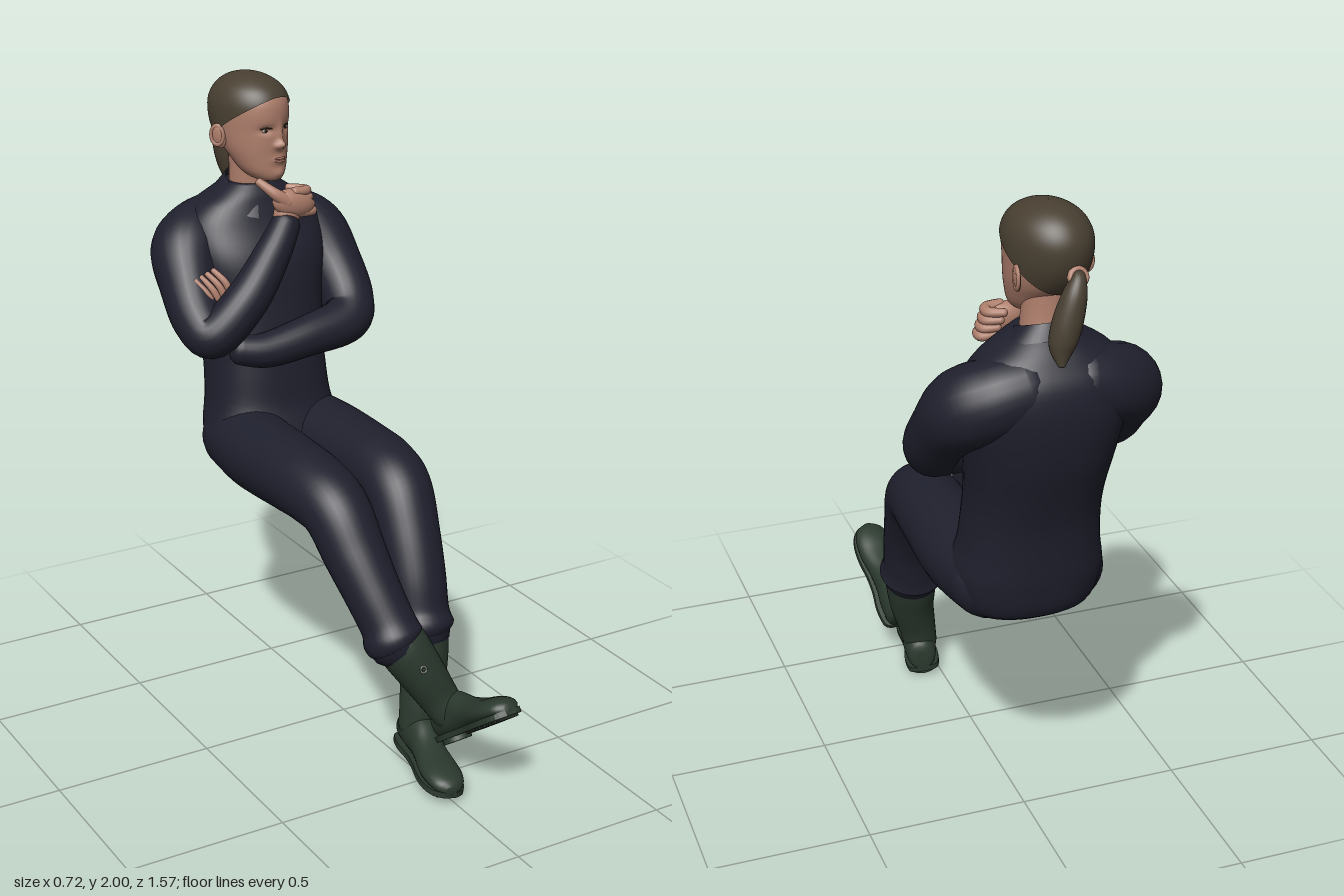
import * as THREE from 'three';
import { ParametricGeometry } from 'three/addons/geometries/ParametricGeometry.js';

const { sin, cos, PI, exp, min, max, floor, abs, sign, sqrt } = Math;
const V = (x, y, z) => new THREE.Vector3(x, y, z);
const mat = (name, color, side = THREE.FrontSide) => {
  const m = new THREE.MeshStandardMaterial({ color, side });
  m.name = name;
  return m;
};

// Smooth interpolation through rows of numbers, t from 0 to 1
function sample(rows, t) {
  const n = rows.length, u = t * (n - 1), i = min(floor(u), n - 2), f = u - i;
  const row = k => rows[max(0, min(n - 1, k))];
  return rows[0].map((_, c) => {
    const [a, b, d, e] = [row(i - 1)[c], row(i)[c], row(i + 1)[c], row(i + 2)[c]];
    return b + 0.5 * f * (d - a + f * (2 * a - 5 * b + 4 * d - e + f * (3 * (b - d) + e - a)));
  });
}

// Skin over a list of closed rings, optionally capped at both ends
function loft(rings, capped = true) {
  const n = rings[0].length, pos = [], idx = [];
  rings.forEach(r => r.forEach(p => pos.push(p.x, p.y, p.z)));
  for (let i = 0; i < rings.length - 1; i++) for (let j = 0; j < n; j++) {
    const a = i * n + j, a1 = i * n + (j + 1) % n;
    idx.push(a, a1, a + n, a1, a1 + n, a + n);
  }
  if (capped) [0, rings.length - 1].forEach(k => {
    const c = rings[k].reduce((s, p) => s.add(p), V(0, 0, 0)).divideScalar(n), ci = pos.length / 3;
    pos.push(c.x, c.y, c.z);
    for (let j = 0; j < n; j++) {
      const a = k * n + j, b = k * n + (j + 1) % n;
      if (k) idx.push(ci, a, b); else idx.push(ci, b, a);
    }
  });
  const g = new THREE.BufferGeometry();
  g.setAttribute('position', new THREE.Float32BufferAttribute(pos, 3));
  g.setIndex(idx);
  g.computeVertexNormals();
  return g;
}

// Round limb along rows of [x, y, z, radius], with rounded ends
function limb(rows, steps = 36, seg = 24) {
  const stations = [];
  for (let i = 0; i <= steps; i++) {
    const t = i / steps, [x, y, z, r] = sample(rows, t);
    const p = sample(rows, max(0, t - 0.01)), q = sample(rows, min(1, t + 0.01));
    stations.push({ c: V(x, y, z), r, t: V(q[0] - p[0], q[1] - p[1], q[2] - p[2]).normalize() });
  }
  const dome = (e, s) => [0.35, 0.7, 0.95].map(h =>
    ({ c: e.c.clone().addScaledVector(e.t, s * h * e.r * 0.7), r: e.r * sqrt(1 - h * h), t: e.t }));
  const all = [...dome(stations[0], -1).reverse(), ...stations, ...dome(stations[steps], 1)];
  let n = abs(all[0].t.x) < 0.8 ? V(1, 0, 0) : V(0, 1, 0);
  return loft(all.map(({ c, r, t }) => {
    n = n.clone().addScaledVector(t, -n.dot(t)).normalize();
    const b = t.clone().cross(n);
    return Array.from({ length: seg }, (_, j) => c.clone()
      .addScaledVector(n, r * cos(j / seg * 2 * PI)).addScaledVector(b, r * sin(j / seg * 2 * PI)));
  }));
}

// Head profile: height, half width, front z, back z
const HEAD = [[1.665, .02, .115, .06], [1.675, .045, .13, .02], [1.70, .07, .135, -.02], [1.74, .088, .135, -.06],
  [1.78, .1, .137, -.1], [1.83, .107, .138, -.13], [1.88, .11, .142, -.142], [1.92, .106, .136, -.138],
  [1.955, .09, .115, -.118], [1.98, .063, .08, -.088], [1.995, .032, .038, -.048], [2, .001, -.004, -.006]];
// Raised and sunken face features: x, y, x spread, y spread, height
const FACE = [[0, 1.82, .010, .03, .011], [0, 1.787, .014, .014, .022], [.016, 1.782, .008, .008, .008],
  [-.016, 1.782, .008, .008, .008], [.042, 1.835, .022, .013, -.011], [-.042, 1.835, .022, .013, -.011],
  [0, 1.737, .026, .012, .008], [0, 1.693, .022, .014, .007]];

function headPoint(y, a, grow = 0) {
  let lo = 0, hi = 1;
  for (let k = 0; k < 18; k++) { const m = (lo + hi) / 2; if (sample(HEAD, m)[0] < y) lo = m; else hi = m; }
  const [, w, f, b] = sample(HEAD, lo);
  const x = w * cos(a), front = max(0, -sin(a));
  let z = (f + b) / 2 - (f - b) / 2 * sin(a);
  if (front > 0) FACE.forEach(([fx, fy, sx, sy, h]) => { z += min(1, front * 3) * h * exp(-(((x - fx) / sx) ** 2) - ((y - fy) / sy) ** 2); });
  return V(x + grow * cos(a), y, z - grow * sin(a));
}
function onFace(x, y) {
  let lo = -PI / 2, hi = 0;
  for (let k = 0; k < 18; k++) { const m = (lo + hi) / 2; if (headPoint(y, m).x < abs(x)) lo = m; else hi = m; }
  const p = headPoint(y, lo);
  return V(p.x * (sign(x) || 1), y, p.z);
}

// Foot sections: z, half width, top height
const FOOT = [[-.075, .022, .09], [-.06, .046, .125], [0, .055, .15], [.06, .05, .14], [.12, .052, .108],
  [.19, .062, .088], [.25, .061, .08], [.295, .045, .066], [.315, .015, .048]];

export function createModel() {
  const root = new THREE.Group();
  const cloth = mat('navy cloth', 0x1f202d, THREE.DoubleSide), skin = mat('skin', 0xaf7f6c);
  const hair = mat('brown hair', 0x483f31, THREE.DoubleSide), rubber = mat('green rubber', 0x2b392e);
  const tread = mat('dark tread', 0x1a221c), white = mat('eye white', 0xc4b8ae);
  const iris = mat('dark iris', 0x2a201a), lip = mat('lip', 0xa26d5f), metal = mat('buckle metal', 0x8c8c88);
  const add = (name, geo, m, parent = root) => {
    const mesh = new THREE.Mesh(geo, m);
    mesh.name = name;
    parent.add(mesh);
    return mesh;
  };
  const blob = (name, m, p, s, parent = root) => {
    const mesh = add(name, new THREE.SphereGeometry(1, 24, 16), m, parent);
    mesh.position.copy(p);
    mesh.scale.set(...s);
    return mesh;
  };

  // Torso: height, half width, front z, back z
  const body = [[.705, .15, -.32, -.55], [.75, .2, -.3, -.63], [.85, .225, -.3, -.658], [.95, .208, -.335, -.67],
    [1.05, .2, -.35, -.685], [1.15, .2, -.365, -.715], [1.28, .215, -.385, -.76], [1.42, .24, -.41, -.785],
    [1.52, .235, -.46, -.775], [1.58, .19, -.485, -.74], [1.62, .13, -.5, -.71], [1.65, .085, -.52, -.68]];
  const soft = v => sign(v) * abs(v) ** 0.85;
  add('torso', loft(Array.from({ length: 49 }, (_, i) => {
    const [y, w, f, b] = sample(body, i / 48);
    return Array.from({ length: 48 }, (_, j) => {
      const a = j / 48 * 2 * PI;
      return V(w * soft(cos(a)), y, (f + b) / 2 - (f - b) / 2 * soft(sin(a)));
    });
  })), cloth);

  // Folded collar, open at the throat
  add('collar', new ParametricGeometry((u, v, p) => {
    const a = 0.3 + u * (2 * PI - 0.6), c = (1 + cos(a)) / 2;
    p.set(sin(a) * (.083 + .045 * v), 1.685 - .065 * c - v * (.045 + .03 * c ** 4), -.59 + cos(a) * (.084 + v * (.024 + .026 * c)));
  }, 40, 4), cloth);
  add('neck', limb([[0, 1.58, -.6, .074], [-.005, 1.68, -.59, .068], [-.01, 1.78, -.59, .066]], 10), skin);

  // Head, turned a little to its left
  const head = new THREE.Group();
  head.name = 'head';
  head.position.set(-.01, 0, -.58);
  head.rotation.y = .28;
  root.add(head);
  const ring = f => Array.from({ length: 96 }, (_, j) => f(j / 96 * 2 * PI));
  add('face', loft(Array.from({ length: 61 }, (_, i) => ring(a => headPoint(1.667 + .29 * i / 60, a)))), skin, head);
  add('hair', loft(Array.from({ length: 29 }, (_, i) => ring(a => {
    const y0 = 1.845 - .09 * sin(a), s = i / 28 * PI / 2;
    return headPoint(y0 + (2 - y0) * sin(s), a, .006 * cos(s) ** .5);
  })), false), hair, head);
  for (const s of [-1, 1]) {
    const eye = onFace(s * .042, 1.833);
    blob('eye', white, eye, [.015, .0055, .004], head);
    blob('iris', iris, eye.clone().add(V(0, 0, .0025)), [.0065, .0055, .003], head);
    // Dark lash line over the eye
    add('lashes', limb([.026, .042, .058].map((x, k) => {
      const p = onFace(s * x, 1.839 + (k === 1 ? .003 : 0));
      return [p.x, p.y, p.z + .001, .0025];
    }), 8, 8), iris, head);
    const ear = blob('ear', skin, V(s * .112, 1.805, -.02), [.01, .038, .023], head);
    ear.rotation.set(-.15, s * -.45, s * -.15);
    const rim = add('earRim', new THREE.TorusGeometry(.021, .006, 10, 24), skin, head);
    rim.position.set(s * .117, 1.81, -.024);
    rim.rotation.set(0, PI / 2 - s * .4, 0);
    rim.scale.y = 1.4;
  }
  [[1.742, .004], [1.733, .005]].forEach(([y, h]) => blob('lip', lip, onFace(0, y).add(V(0, 0, -.003)), [.022, h, .005], head));

  // Ponytail and its tie
  add('ponytail', limb([[-.045, 1.82, -.7, .018], [-.042, 1.828, -.73, .02], [-.028, 1.785, -.742, .034],
    [-.008, 1.71, -.744, .042], [.008, 1.645, -.748, .036], [.015, 1.6, -.766, .012]]), hair);
  const tie = add('hairTie', new THREE.TorusGeometry(.022, .009, 10, 24), skin);
  tie.position.set(-.042, 1.828, -.728);
  tie.rotation.x = .4;

  // Sleeves: the right arm props the chin, the left lies across the body
  add('rightSleeve', limb([[-.07, 1.5, -.665, .108], [-.16, 1.475, -.65, .114], [-.23, 1.435, -.605, .116], [-.262, 1.35, -.525, .096],
    [-.272, 1.26, -.44, .085], [-.25, 1.225, -.375, .074], [-.14, 1.33, -.36, .07], [-.03, 1.46, -.39, .058], [.03, 1.54, -.415, .047]], 64), cloth);
  add('leftSleeve', limb([[.07, 1.5, -.665, .108], [.16, 1.475, -.65, .114], [.23, 1.435, -.605, .116], [.26, 1.345, -.52, .097],
    [.263, 1.25, -.43, .087], [.22, 1.2, -.37, .078], [.07, 1.178, -.345, .066], [-.08, 1.155, -.345, .057], [-.17, 1.165, -.365, .049]], 64), cloth);

  // Right hand at the chin: back of the hand in front, fingers curled on its outer side
  const palm = blob('rightPalm', skin, V(.055, 1.602, -.412), [.075, .046, .034]);
  palm.rotation.z = -.25;
  blob('rightWrist', skin, V(.035, 1.565, -.42), [.045, .045, .036]);
  add('rightThumb', limb([[.03, 1.61, -.405, .026], [-.01, 1.64, -.41, .019], [-.05, 1.677, -.445, .013]], 14, 14), skin);
  for (let i = 0; i < 4; i++) {
    const y = 1.64 - i * .023, x = .085 + i * .007;
    add('rightFinger', limb([[x - .03, y, -.405, .016], [x + .015, y - .002, -.41, .016], [x + .018, y - .004, -.44, .015],
      [x - .02, y, -.468 + i * .006, .012]], 18, 12), skin);
  }
  // Left hand wrapped round the right upper arm
  const grip = blob('leftPalm', skin, V(-.195, 1.26, -.405), [.04, .08, .022]);
  grip.rotation.z = .25;
  for (let i = 0; i < 4; i++) {
    const d = i * .021;
    add('leftFinger', limb([[-.23 + d, 1.28 + d * .4, -.408, .012], [-.25 + d, 1.34 + d * .5, -.412, .0115],
      [-.28 + d, 1.388 + d * .4, -.445, .009]], 14, 12), skin);
  }

  // Trouser legs with gathered hems
  add('rightTrouserLeg', limb([[-.11, .825, -.5, .124], [-.122, .82, -.32, .128], [-.124, .825, -.1, .121], [-.122, .822, .04, .114],
    [-.114, .79, .15, .106], [-.1, .68, .24, .097], [-.08, .57, .32, .088], [-.062, .49, .372, .086],
    [-.056, .45, .395, .094], [-.05, .43, .405, .084]], 64, 32), cloth);
  add('leftTrouserLeg', limb([[.11, .825, -.5, .124], [.135, .82, -.32, .127], [.14, .825, -.1, .118], [.138, .822, .02, .113],
    [.132, .79, .11, .108], [.12, .68, .19, .1], [.11, .56, .25, .096], [.104, .46, .28, .096],
    [.1, .415, .297, .107], [.1, .39, .305, .092]], 64, 32), cloth);

  // Boots: shaft, foot, sole, heel and tread bars
  function boot(side, shaft, at, pitch, yaw, roll) {
    add(side + 'BootShaft', limb(shaft, 28, 28), rubber);
    const foot = new THREE.Group();
    foot.name = side + 'Foot';
    foot.position.set(...at);
    foot.rotation.set(-pitch, yaw, roll, 'YXZ');
    root.add(foot);
    add('bootFoot', loft(Array.from({ length: 33 }, (_, i) => {
      const [z, w, top] = sample(FOOT, i / 32), h = (top - .02) / 2;
      return Array.from({ length: 28 }, (_, j) => {
        const a = j / 28 * 2 * PI;
        return V(w * soft(cos(a)) * (sin(a) > 0 ? 1 - .15 * sin(a) : 1), .02 + h + h * soft(sin(a)), z);
      });
    })), rubber, foot);
    const edge = Array.from({ length: 25 }, (_, i) => sample(FOOT, i / 24));
    const outline = [...edge.map(([z, w]) => new THREE.Vector2(w + .003, z)), ...edge.reverse().map(([z, w]) => new THREE.Vector2(-w - .003, z))];
    const plate = new THREE.ExtrudeGeometry(new THREE.Shape(outline), { depth: .018, bevelEnabled: false });
    add('sole', plate.rotateX(PI / 2).translate(0, .031, 0), rubber, foot);
    add('heel', new THREE.CylinderGeometry(.046, .046, .022, 24).translate(0, .009, -.018), rubber, foot);
    for (let k = 0; k < 8; k++) {
      add('treadBar', new THREE.BoxGeometry(.098 - abs(k - 3) * .007, .01, .016).translate(0, .01, .11 + k * .025), tread, foot);
    }
  }
  boot('left', [[.1, .44, .3, .078], [.1, .37, .31, .084], [.09, .27, .335, .074], [.07, .18, .352, .064], [.055, .1, .355, .056]],
    [.048, .009, .355], 0, -.21, -.13);
  boot('right', [[-.052, .47, .39, .075], [-.03, .42, .415, .08], [.015, .34, .44, .073], [.06, .26, .46, .064], [.09, .2, .49, .056]],
    [.1, .13, .54], .64, .06, 0);
  const buckle = add('buckle', new THREE.TorusGeometry(.01, .003, 8, 16), metal);
  buckle.position.set(-.018, .385, .508);
  buckle.rotation.x = -.3;

  return root;
}
